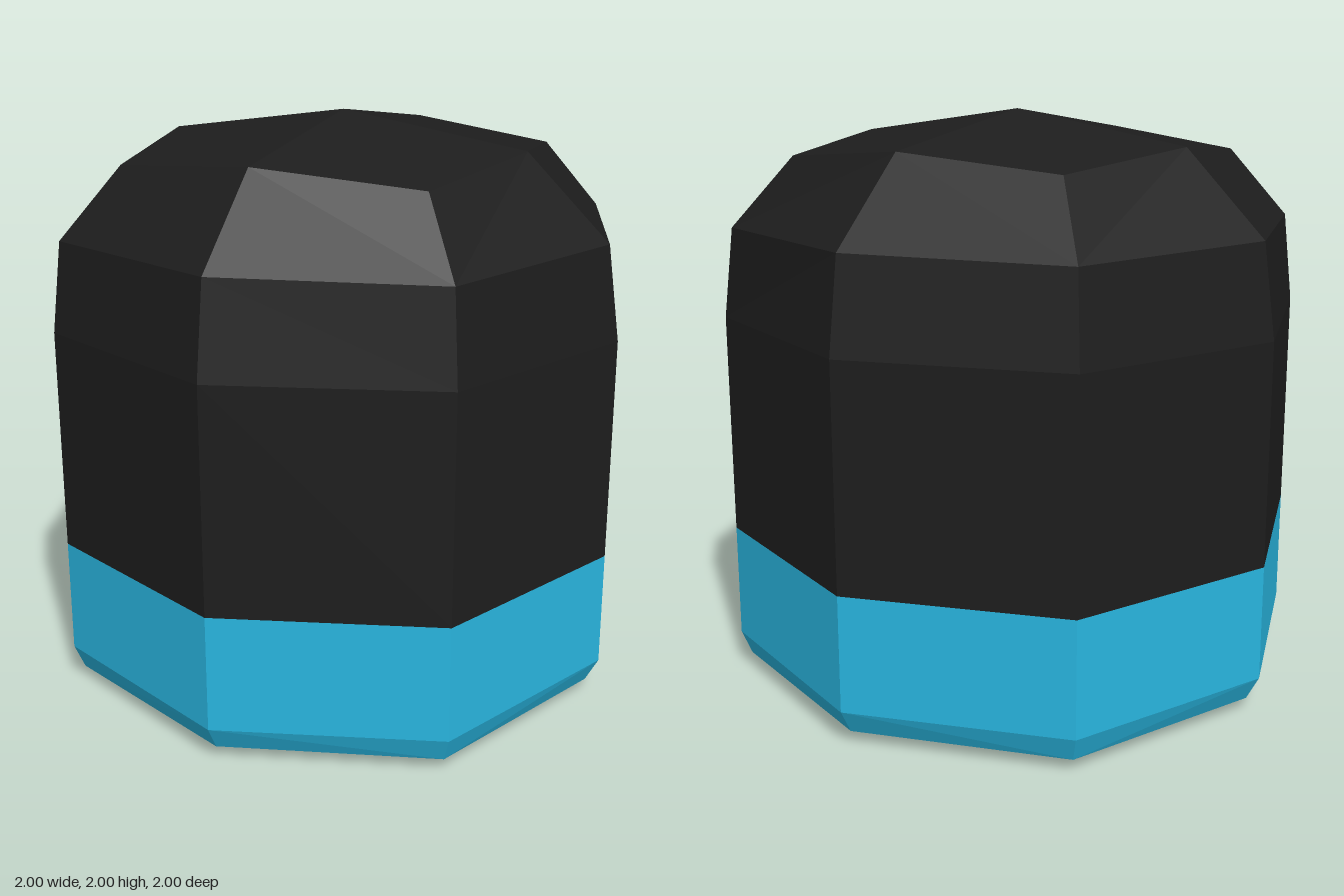
import * as THREE from 'three';

const SIDES = 8;

// Point on an octagonal ring; corners alternate between axis and diagonal.
// ring = [axisRadius, axisY, diagonalOffset, diagonalY]
function ringPoint([axisR, axisY, diag, diagY], i) {
  const a = (i % SIDES) * Math.PI / 4;
  const odd = i % 2 === 1;
  const r = odd ? diag * Math.SQRT2 : axisR;
  return [r * Math.cos(a), odd ? diagY : axisY, r * Math.sin(a)];
}

// Skin a stack of rings, listed from bottom to top
function loft(name, rings, color) {
  const pos = [];
  for (let k = 0; k < rings.length - 1; k++) {
    const low = rings[k], high = rings[k + 1];
    for (let i = 0; i < SIDES; i++) {
      const a = ringPoint(low, i), b = ringPoint(low, i + 1);
      const c = ringPoint(high, i), d = ringPoint(high, i + 1);
      if (low[0] === 0) pos.push(...a, ...c, ...d);
      else if (high[0] === 0) pos.push(...a, ...c, ...b);
      else if (i % 2) pos.push(...a, ...c, ...d, ...a, ...d, ...b);
      else pos.push(...a, ...c, ...b, ...b, ...c, ...d);
    }
  }
  const geo = new THREE.BufferGeometry();
  geo.setAttribute('position', new THREE.Float32BufferAttribute(pos, 3));
  geo.computeVertexNormals();
  const mesh = new THREE.Mesh(geo, new THREE.MeshStandardMaterial({ color, flatShading: true }));
  mesh.name = name;
  return mesh;
}

export function createModel() {
  const model = new THREE.Group();
  model.name = 'capsule';
  const seam = [1, 0.53, 0.725, 0.53];

  // Coloured base with a bevelled, almost flat underside
  model.add(loft('base', [
    [0, 0, 0, 0],
    [0.665, 0.012, 0.55, 0.015],
    [0.955, 0.043, 0.7, 0.043],
    [1, 0.128, 0.725, 0.128],
    seam,
  ], 0x29b6e0));

  // Dark body with a faceted domed top
  model.add(loft('body', [
    seam,
    [1, 1.3, 0.725, 1.3],
    [0.955, 1.62, 0.7, 1.61],
    [0.665, 1.9, 0.548, 1.85],
    [0, 2, 0, 2],
  ], 0x1d1d1d));

  return model;
}
